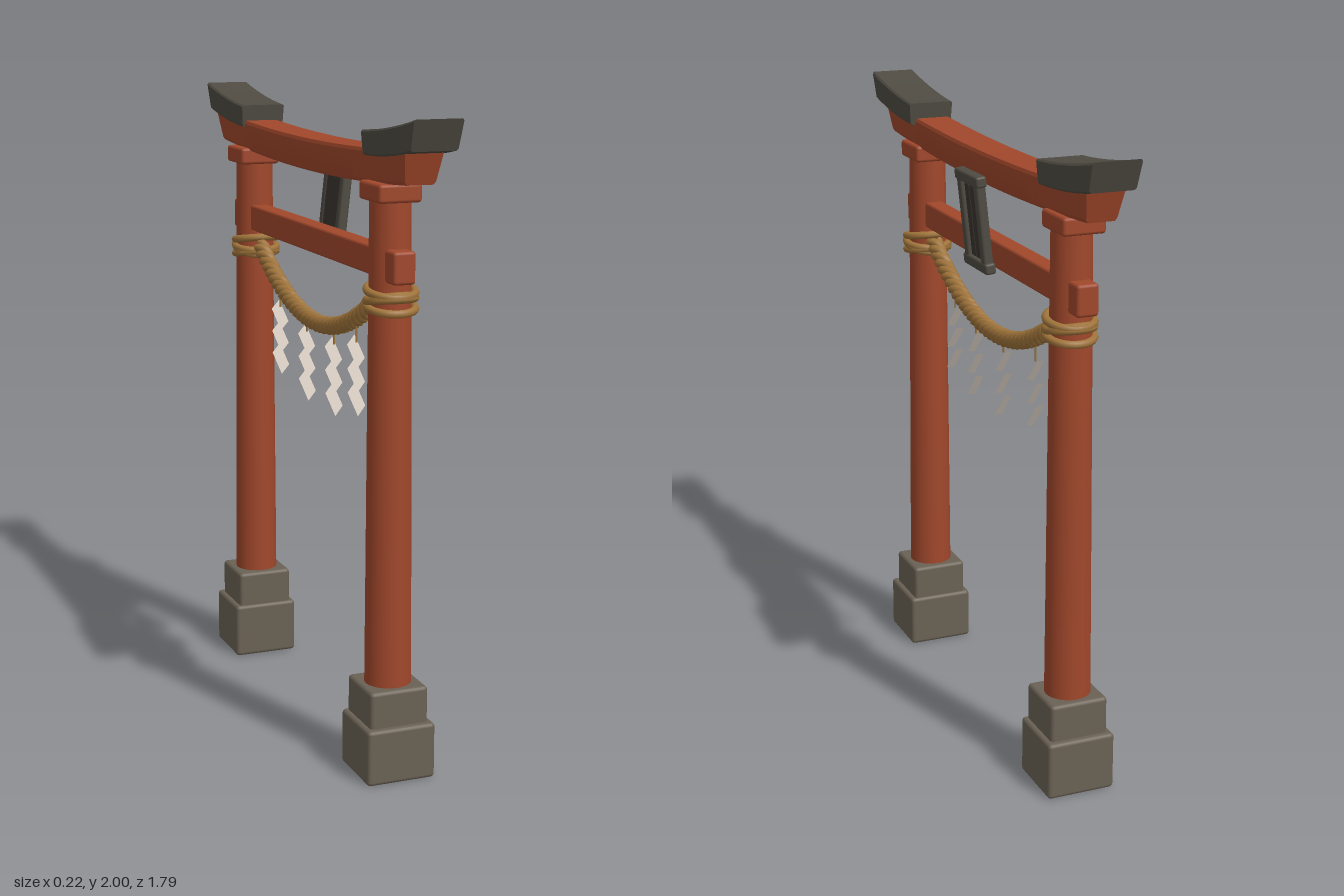
import * as THREE from 'three';
import { toCreasedNormals } from 'three/addons/utils/BufferGeometryUtils.js';
import { RoundedBoxGeometry } from 'three/addons/geometries/RoundedBoxGeometry.js';

const material = (name, color, side = THREE.FrontSide) => {
  const m = new THREE.MeshStandardMaterial({ color, side });
  m.name = name;
  return m;
};

const lerp = THREE.MathUtils.lerp;

// Loft of chamfered cross-sections, stations ordered by rising z
function loft(stations, cx, b = 0.1) {
  const outline = [[1, b], [1, 1 - b], [1 - b, 1], [b - 1, 1], [-1, 1 - b], [-1, b], [b - 1, 0], [1 - b, 0]];
  const rings = stations.map(s => outline.map(([u, v]) => [
    cx + u * lerp(s.wBot, s.wTop, v), lerp(s.yBot, s.yTop, v), lerp(s.zBot, s.zTop, v)]));
  const pos = [];
  const tri = (...points) => points.forEach(p => pos.push(...p));
  const n = outline.length;
  for (let i = 0; i < rings.length - 1; i++) {
    for (let k = 0; k < n; k++) {
      const j = (k + 1) % n;
      tri(rings[i][k], rings[i][j], rings[i + 1][j]);
      tri(rings[i][k], rings[i + 1][j], rings[i + 1][k]);
    }
  }
  const first = rings[0], last = rings[rings.length - 1];
  for (let k = 1; k < n - 1; k++) {
    tri(first[0], first[k + 1], first[k]);
    tri(last[0], last[k], last[k + 1]);
  }
  const g = new THREE.BufferGeometry();
  g.setAttribute('position', new THREE.Float32BufferAttribute(pos, 3));
  return toCreasedNormals(g, 0.4);
}

// Three strands wound round a centre line given by at(t), offset in the frame of the curve
function addRope(parent, name, curve, mat, turns, radius, segments) {
  const group = new THREE.Group();
  group.name = name;
  const side = new THREE.Vector3(1, 0, 0);
  for (let strand = 0; strand < 3; strand++) {
    const points = [];
    for (let i = 0; i <= segments; i++) {
      const t = i / segments;
      const a = t * turns * Math.PI * 2 + strand * Math.PI * 2 / 3;
      const up = new THREE.Vector3().crossVectors(side, curve.getTangentAt(t)).normalize();
      points.push(curve.getPointAt(t)
        .addScaledVector(side, Math.cos(a) * radius)
        .addScaledVector(up, Math.sin(a) * radius));
    }
    const tube = new THREE.TubeGeometry(new THREE.CatmullRomCurve3(points), segments * 2, radius * 1.05, 7);
    const mesh = new THREE.Mesh(tube, mat);
    mesh.name = 'ropeStrand';
    group.add(mesh);
  }
  parent.add(group);
}

export function createModel() {
  const red = material('redWood', 0xa0472b);
  const stone = material('stone', 0x6a6154);
  const roofWood = material('darkRoof', 0x4f4b42);
  const panelWood = material('darkPanel', 0x39342e);
  const straw = material('straw', 0xa0743a);
  const paper = material('paper', 0xd6ccc0, THREE.DoubleSide);

  const model = new THREE.Group();
  model.name = 'gate';
  const add = (name, geometry, mat, x = 0, y = 0, z = 0, parent = model) => {
    const mesh = new THREE.Mesh(geometry, mat);
    mesh.name = name;
    mesh.position.set(x, y, z);
    parent.add(mesh);
    return mesh;
  };
  const box = (w, h, d, r = 0.008) => new RoundedBoxGeometry(w, h, d, 2, r);

  for (const s of [1, -1]) {
    // Stepped stone footing
    const step = s > 0 ? 0.175 : 0.185;
    const top = s > 0 ? 0.288 : 0.302;
    add('lowerFooting', box(0.22, step, 0.215, 0.012), stone, 0, step / 2, s * 0.603);
    add('upperFooting', box(0.187, top - step + 0.03, 0.186, 0.012), stone, 0, (top + step - 0.03) / 2, s * 0.597);

    // Tapered pillar leaning slightly inwards
    const pillar = new THREE.CylinderGeometry(0.061, 0.072, 1.53, 24);
    const p = pillar.attributes.position;
    for (let i = 0; i < p.count; i++) p.setZ(i, p.getZ(i) - s * 0.012 * (p.getY(i) / 1.53 + 0.5));
    add('pillar', pillar, red, 0, 1.025, s * 0.597);
    add('pillarCap', box(0.135, 0.055, 0.155, 0.01), red, -0.003, 1.774, s * 0.592);

    // Tie beam end and its block outside the pillar
    add('tieBeamEnd', box(0.07, 0.097, 0.15, 0.01), red, -0.002, 1.564, s * 0.625);

    // Upswept roof cap
    const roof = [];
    for (let i = 0; i <= 10; i++) {
      const t = i / 10;
      roof.push({
        zTop: s * (0.52 + 0.375 * t), zBot: s * (0.527 + 0.338 * t),
        yTop: 1.945 + 0.025 * t + 0.03 * t * t, yBot: 1.873 + 0.007 * t + 0.03 * t * t,
        wTop: 0.075, wBot: 0.071,
      });
    }
    if (s < 0) roof.reverse();
    add('roofCap', loft(roof, 0.009, 0.07), roofWood);

    // Rope wrapped round the pillar
    [[1.485, 0.17], [1.46, -0.12], [1.437, 0.16], [1.457, -0.3]].forEach(([y, tilt]) => {
      const ring = new THREE.TorusGeometry(0.071, 0.0125, 8, 32);
      ring.rotateX(Math.PI / 2 + s * tilt);
      add('pillarRope', ring, straw, 0.003, y, s * 0.588);
    });
  }

  // Gently curved top beam
  const beam = [];
  for (let i = 0; i <= 24; i++) {
    const t = i / 12 - 1;
    beam.push({
      zTop: 0.815 * t, zBot: 0.785 * t,
      yTop: 1.882 + 0.028 * t * t, yBot: 1.78 + 0.03 * t * t,
      wTop: 0.06, wBot: 0.046,
    });
  }
  add('topBeam', loft(beam, 0.003), red);
  add('tieBeam', box(0.062, 0.086, 1.2), red, -0.002, 1.564, 0);

  // Leaning framed plaque
  const plaque = new THREE.Group();
  plaque.name = 'plaque';
  plaque.position.set(0.062, 1.658, 0);
  plaque.rotation.z = -0.11;
  model.add(plaque);
  add('plaqueTop', box(0.036, 0.036, 0.187), roofWood, 0, 0.138, 0, plaque);
  add('plaqueBottom', box(0.036, 0.036, 0.19), roofWood, 0, -0.138, 0, plaque);
  add('plaquePanel', new THREE.BoxGeometry(0.014, 0.26, 0.13), panelWood, -0.006, 0, 0, plaque);
  for (const s of [1, -1]) {
    add('plaqueSide', box(0.032, 0.27, 0.032), roofWood, 0, 0, s * 0.068, plaque);
    add('plaqueBoard', box(0.012, 0.235, 0.034, 0.004), panelWood, 0.003, 0, s * 0.02, plaque);
  }

  // Sagging twisted rope
  const ropeY = z => 1.29 + 0.64 * z * z;
  const line = [];
  for (let i = 0; i <= 12; i++) {
    const z = 0.53 - 1.06 * i / 12;
    line.push(new THREE.Vector3(0, ropeY(z), z));
  }
  addRope(model, 'hangingRope', new THREE.CatmullRomCurve3(line), straw, 11, 0.0145, 130);

  // Paper streamers of three slanting leaves
  const across = new THREE.Vector3(0.045, 0.02, -0.05);
  const down = new THREE.Vector3(0.022, -0.07, 0.03);
  for (const z of [0.335, 0.15, -0.085, -0.335]) {
    const streamer = new THREE.Group();
    streamer.name = 'paperStreamer';
    streamer.position.set(0, Math.abs(z) > 0.2 ? 1.315 : 1.275, z);
    model.add(streamer);
    add('streamerString', new THREE.CylinderGeometry(0.003, 0.003, 0.05, 6), straw, 0, -0.005, 0, streamer);
    for (let i = 0; i < 3; i++) {
      const leaf = new THREE.PlaneGeometry(1, 1);
      const p = leaf.attributes.position;
      for (let k = 0; k < p.count; k++) {
        const v = new THREE.Vector3().addScaledVector(across, p.getX(k)).addScaledVector(down, -p.getY(k));
        p.setXYZ(k, v.x, v.y, v.z);
      }
      leaf.computeVertexNormals();
      add('paperLeaf', leaf, paper, 0, -0.058 - 0.074 * i, 0.003 * (i - 1), streamer);
    }
  }
  return model;
}
